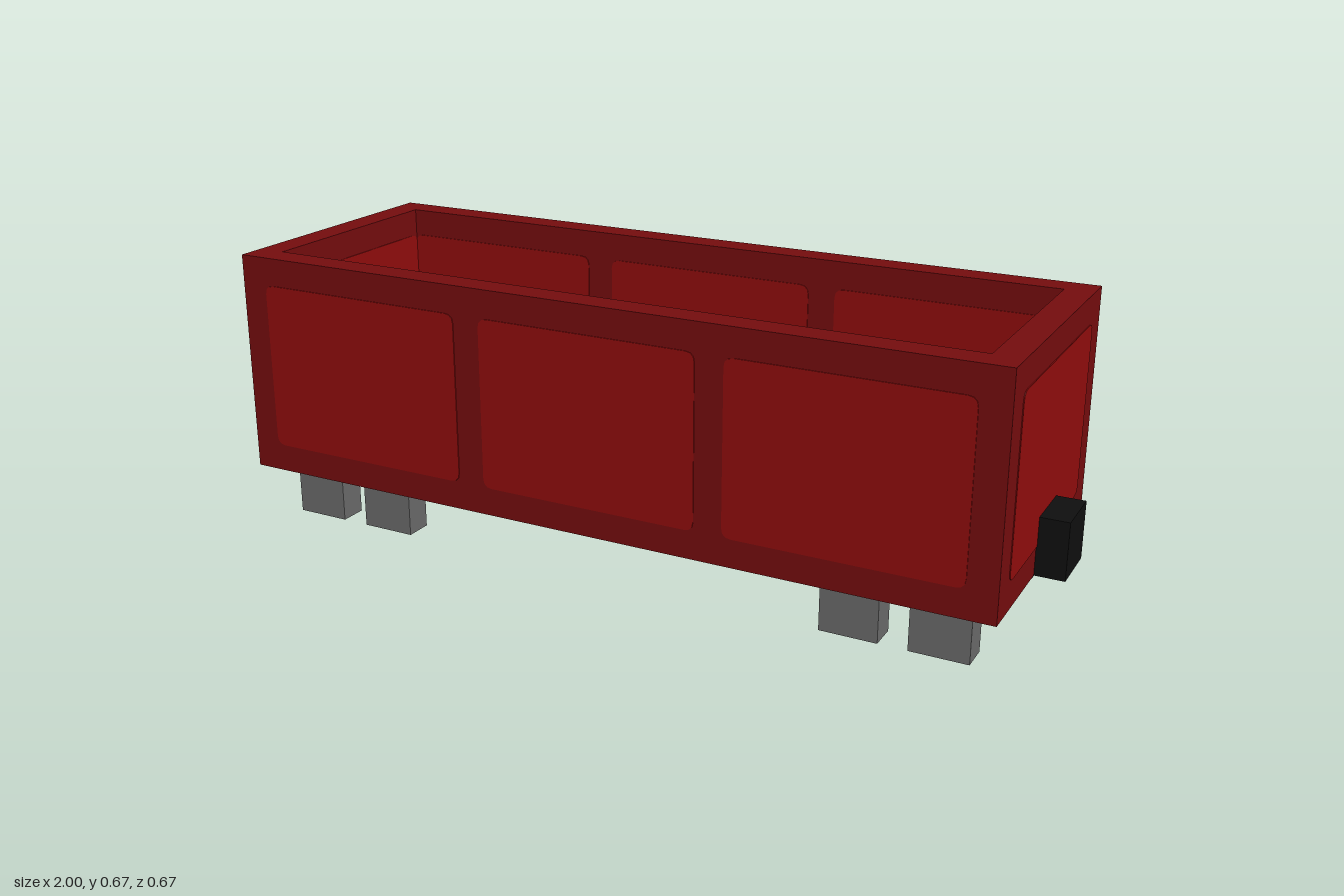
import * as THREE from 'three';

const U = 1 / 15; // building unit: wall thickness

export function createModel() {
  const model = new THREE.Group();
  const mat = (name, color) => {
    const m = new THREE.MeshStandardMaterial({ color });
    m.name = name;
    return m;
  };
  const frameRed = mat('dark red', 0x740c0e);
  const panelRed = mat('bright red', 0x8f0c0c);
  const black = mat('black', 0x0f0f0f);
  const grey = mat('wheel grey', 0x696969);

  // Box given by its limits in building units
  const box = (name, material, x0, x1, y0, y1, z0, z1) => {
    const g = new THREE.BoxGeometry((x1 - x0) * U, (y1 - y0) * U, (z1 - z0) * U);
    const mesh = new THREE.Mesh(g, material);
    mesh.position.set((x0 + x1) / 2 * U, (y0 + y1) / 2 * U, (z0 + z1) / 2 * U);
    mesh.name = name;
    model.add(mesh);
  };

  // Thin round-cornered plate, sunk halfway into the surface it marks
  const plate = (name, w, h, x, y, z, rx = 0, ry = 0, r = 0.022) => {
    const a = w * U / 2, b = h * U / 2;
    const s = new THREE.Shape();
    s.moveTo(-a + r, -b);
    s.lineTo(a - r, -b);
    s.quadraticCurveTo(a, -b, a, -b + r);
    s.lineTo(a, b - r);
    s.quadraticCurveTo(a, b, a - r, b);
    s.lineTo(-a + r, b);
    s.quadraticCurveTo(-a, b, -a, b - r);
    s.lineTo(-a, -b + r);
    s.quadraticCurveTo(-a, -b, -a + r, -b);
    const g = new THREE.ExtrudeGeometry(s, { depth: 0.004, bevelEnabled: false, curveSegments: 3 });
    g.translate(0, 0, -0.002);
    const mesh = new THREE.Mesh(g, panelRed);
    mesh.position.set(x * U, y * U, z * U);
    mesh.rotation.set(rx, ry, 0);
    mesh.name = name;
    model.add(mesh);
  };

  // Open wagon body
  box('floor', frameRed, -14, 14, 2, 3, -5, 5);
  for (const s of [-1, 1]) {
    box('sideWall', frameRed, -14, 14, 3, 10, s * 4.5 - 0.5, s * 4.5 + 0.5);
    box('endWall', frameRed, s * 13.5 - 0.5, s * 13.5 + 0.5, 3, 10, -4, 4);

    // Wall panels, outside and inside
    for (const d of [4, 5]) {
      for (const x of [-9, 0, 9]) plate('sidePanel', 8, 6, x, 6, s * d);
    }
    for (const d of [13, 14]) plate('endPanel', 8, 6, s * d, 6, 0, 0, Math.PI / 2);

    // Cross stripes on the floor, above and below
    plate('floorStripe', 1, 8, s * 4.5, 3, 0, Math.PI / 2, 0, 0.001);
    plate('undersideStripe', 1, 8, s * 4.5, 2, 0, Math.PI / 2);

    // Couplers
    box('coupler', black, s * 14.5 - 0.5, s * 14.5 + 0.5, 2, 4, -1, 1);

    // Block wheels in pairs at each end
    for (const x of [9, 12]) {
      for (const z of [-3.5, 3.5]) box('wheel', grey, s * x - 1, s * x + 1, 0, 2, z - 0.5, z + 0.5);
    }
  }
  return model;
}
